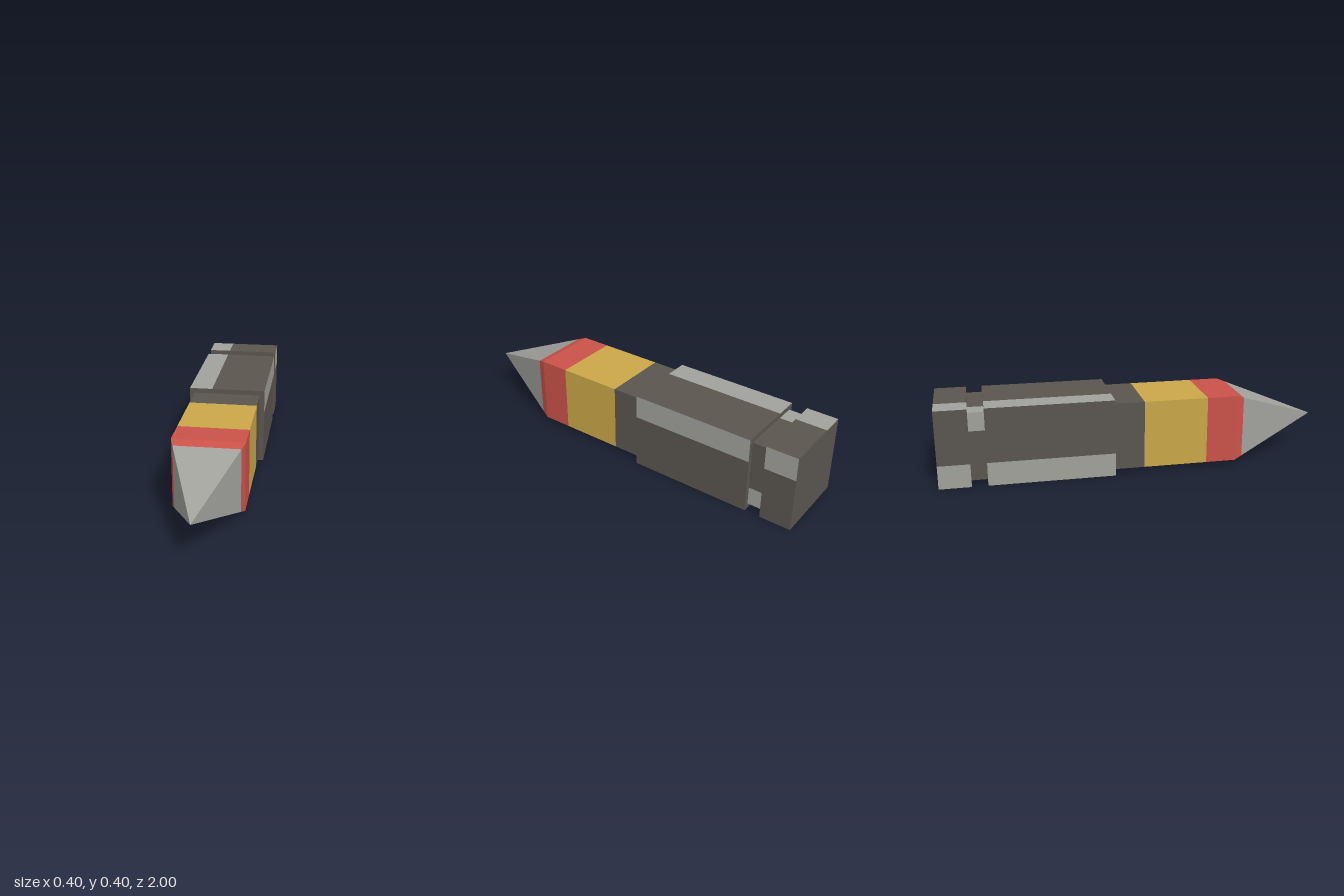
import * as THREE from 'three';

const mat = (name, color) => {
  const m = new THREE.MeshStandardMaterial({ color });
  m.name = name;
  return m;
};

// Square section along z: half-widths h0 at z0 and h1 at z1, optional end caps.
// band(side) returns the [start, end] share of a side painted with the second material.
function squareSection(name, z0, z1, h0, h1, materials, { caps = false, band = null } = {}) {
  const corners = [[1, 1], [-1, 1], [-1, -1], [1, -1]];
  const faces = [[], []];
  const point = (side, t, h, z) => {
    const [ax, ay] = corners[side % 4], [bx, by] = corners[(side + 1) % 4];
    return [h * (ax + (bx - ax) * t), 0.2 + h * (ay + (by - ay) * t), z];
  };
  const quad = (slot, a, b, c, d) => {
    faces[slot].push(...a, ...b, ...c);
    faces[slot].push(...a, ...c, ...d);
  };
  for (let s = 0; s < 4; s++) {
    const [b0, b1] = band ? band(s) : [1, 1];
    for (const [t0, t1, slot] of [[0, b0, 0], [b0, b1, 1], [b1, 1, 0]]) {
      if (t1 - t0 < 1e-6) continue;
      const a = point(s, t0, h0, z0), b = point(s, t1, h0, z0);
      const c = point(s, t1, h1, z1), d = point(s, t0, h1, z1);
      if (h1 === 0) faces[slot].push(...a, ...b, ...c);
      else quad(slot, a, b, c, d);
    }
  }
  if (caps) {
    quad(0, ...[0, 1, 2, 3].map(s => point(s, 0, h1, z1)));
    quad(0, ...[3, 2, 1, 0].map(s => point(s, 0, h0, z0)));
  }
  const geo = new THREE.BufferGeometry();
  geo.setAttribute('position', new THREE.Float32BufferAttribute([...faces[0], ...faces[1]], 3));
  geo.addGroup(0, faces[0].length / 3, 0);
  if (faces[1].length) geo.addGroup(faces[0].length / 3, faces[1].length / 3, 1);
  geo.computeVertexNormals();
  const mesh = new THREE.Mesh(geo, materials);
  mesh.name = name;
  return mesh;
}

export function createModel() {
  const dark = mat('darkMetal', 0x5a554f);
  const light = mat('lightMetal', 0xa1a29c);
  const gold = mat('gold', 0xcaa748);
  const red = mat('red', 0xca5249);
  const group = new THREE.Group();
  group.name = 'shell';

  // Casing and rim carry a light strip at the end of every side, turning round the body
  const strip = { caps: true, band: () => [0.7, 1] };
  // In the groove the strip sits at alternating ends
  const grooveStrip = { band: s => (s % 2 ? [0, 0.27] : [0.73, 1]) };

  group.add(
    squareSection('rearRim', -1, -0.84, 0.2, 0.2, [dark, light], strip),
    squareSection('groove', -0.84, -0.76, 0.175, 0.175, [dark, light], grooveStrip),
    squareSection('casing', -0.76, -0.12, 0.2, 0.2, [dark, light], strip),
    squareSection('neck', -0.12, 0.035, 0.175, 0.175, [dark]),
    squareSection('goldBand', 0.035, 0.365, 0.175, 0.175, [gold]),
    squareSection('redBand', 0.365, 0.52, 0.175, 0.175, [red]),
    // Pyramid nose with a red lower edge
    squareSection('noseBase', 0.52, 0.563, 0.175, 0.1593, [red]),
    squareSection('noseTip', 0.563, 1, 0.1593, 0, [light]),
  );
  return group;
}
